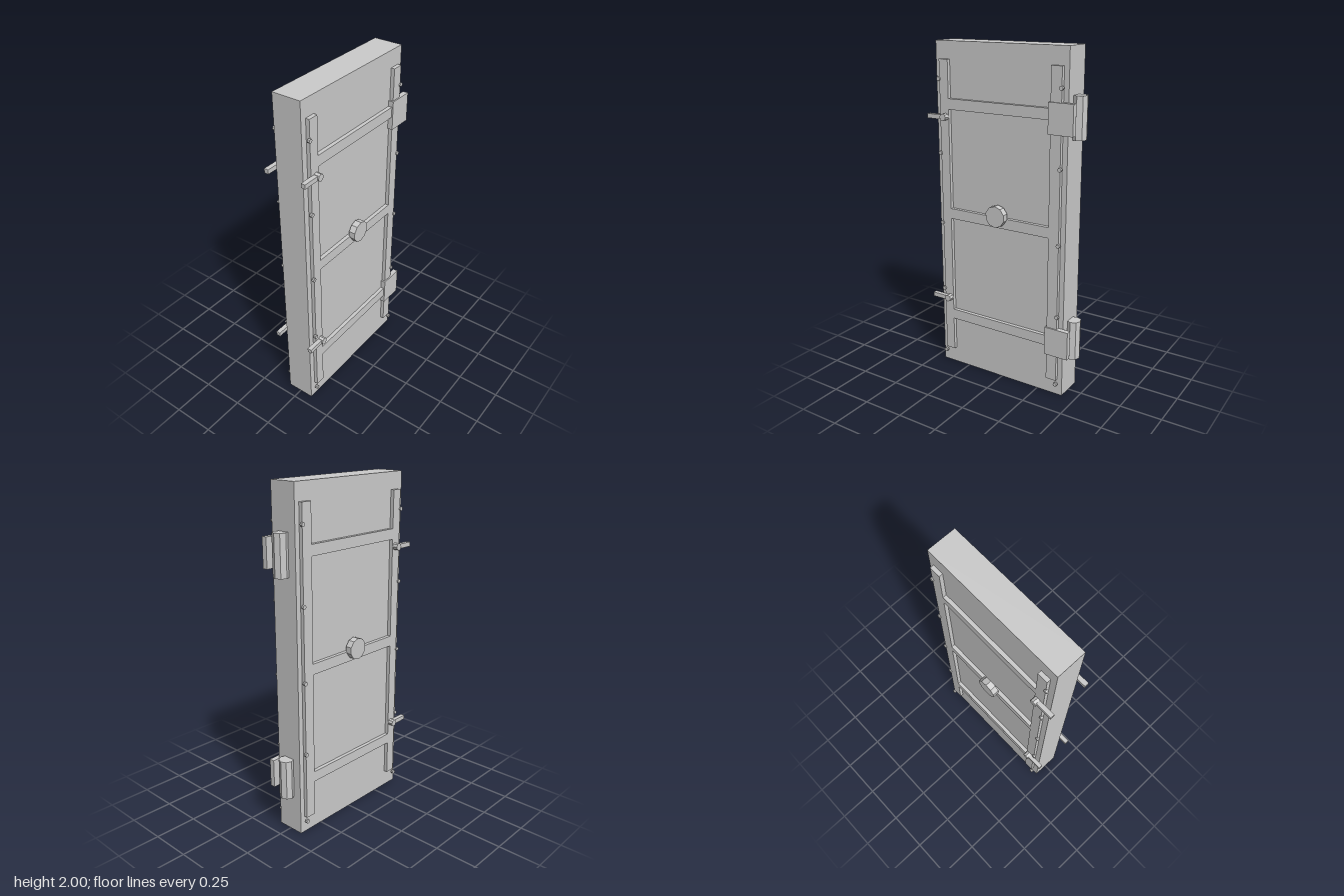
import * as THREE from 'three';

const material = new THREE.MeshStandardMaterial({ color: 0xcccccc, flatShading: true });

function add(parent, name, geometry) {
  const mesh = new THREE.Mesh(geometry, material);
  mesh.name = name;
  parent.add(mesh);
  return mesh;
}

// Box given by its limits on each axis
function box(parent, name, [x0, x1], [y0, y1], [z0, z1]) {
  const mesh = add(parent, name, new THREE.BoxGeometry(x1 - x0, y1 - y0, z1 - z0));
  mesh.position.set((x0 + x1) / 2, (y0 + y1) / 2, (z0 + z1) / 2);
}

// Faceted disc standing out along z
function stud(parent, name, x, y, radius, z0, z1, sides) {
  const geometry = new THREE.CylinderGeometry(radius, radius, z1 - z0, sides);
  geometry.rotateX(-Math.PI / 2);
  add(parent, name, geometry).position.set(x, y, (z0 + z1) / 2);
}

// Fittings of one face; side is 1 for the front and -1 for the back
function buildFace(side) {
  const face = new THREE.Group();
  face.name = side > 0 ? 'frontFittings' : 'backFittings';
  const range = (a, b) => (side > 0 ? [a, b] : [-b, -a]);
  const relief = range(0.08, 0.107);

  // Raised frame
  box(face, 'rightStile', [-0.405, -0.345], [0.1, 1.9], relief);
  box(face, 'leftStile', [0.32, 0.385], [0.1, 1.9], relief);
  for (const y of [0.342, 0.998, 1.65]) {
    box(face, 'crossRail', [-0.345, 0.32], [y - 0.031, y + 0.031], relief);
  }

  // Rivets along the stiles
  for (const x of [-0.408, 0.384]) {
    for (let i = 0; i < 5; i++) {
      stud(face, 'rivet', x, 0.077 + i * 0.428, 0.012, ...range(0.1, 0.115), 8);
    }
  }

  // Centre knob
  stud(face, 'knob', -0.013, 1.04, 0.063, ...range(0.1, 0.139), 10);

  // Latch handles
  for (const y of [0.453, 1.576]) {
    stud(face, 'handlePivot', -0.366, y, 0.021, ...range(0.1, 0.139), 8);
    box(face, 'handleLever', [-0.481, -0.366], [y - 0.013, y + 0.013], range(0.105, 0.131));
  }
  return face;
}

export function createModel() {
  const door = new THREE.Group();
  door.name = 'door';

  box(door, 'doorSlab', [-0.44, 0.415], [0, 2], [-0.085, 0.085]);
  door.add(buildFace(1), buildFace(-1));

  // Hinges on the left edge, with plates on the front only
  for (const y of [0.344, 1.629]) {
    const hinge = new THREE.Group();
    hinge.name = 'hinge';
    add(hinge, 'hingeBarrel', new THREE.CylinderGeometry(0.043, 0.043, 0.235, 8))
      .position.set(0.438, y, 0);
    box(hinge, 'hingePlate', [0.31, 0.459], [y - 0.085, y + 0.085], [0.084, 0.115]);
    door.add(hinge);
  }
  return door;
}
